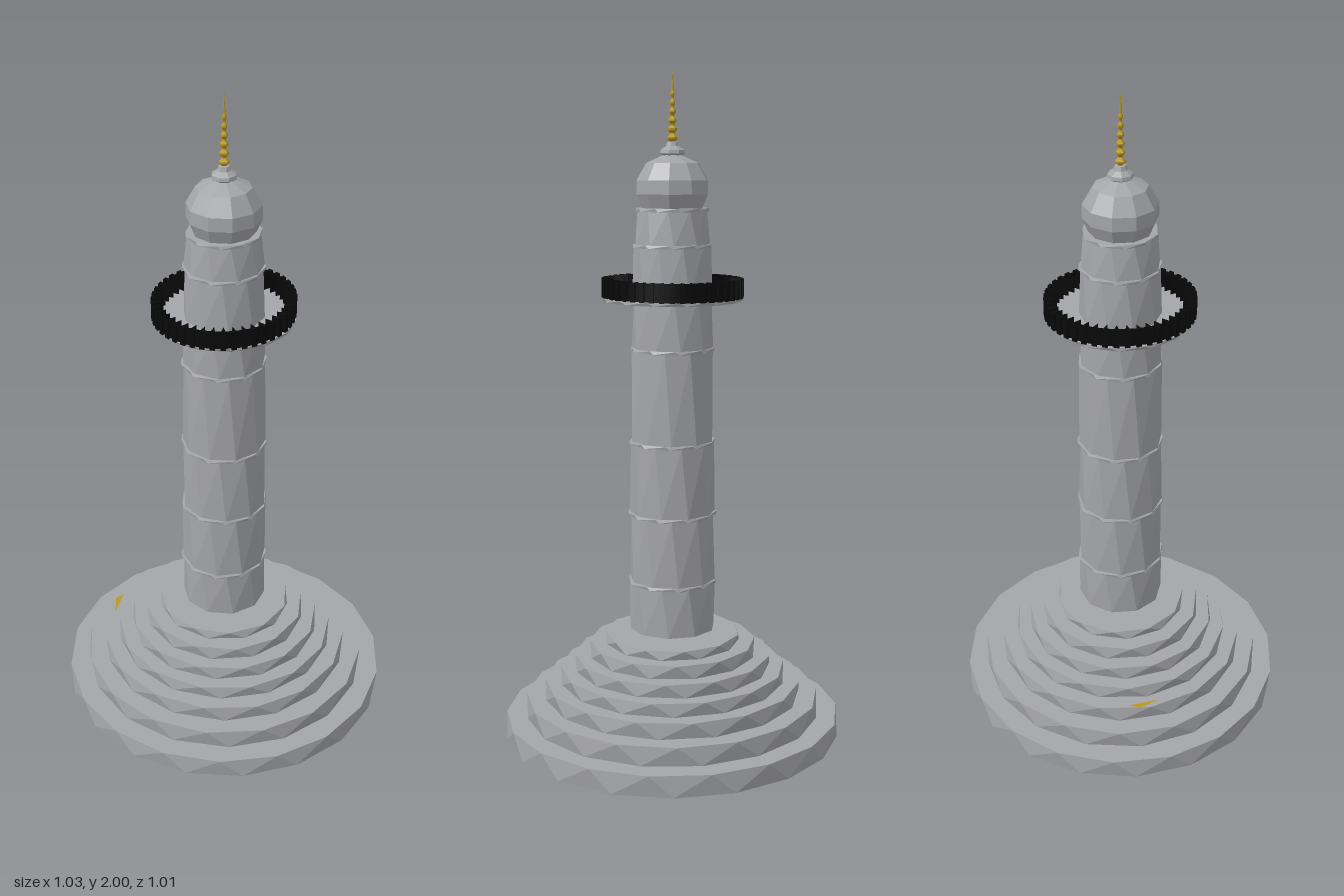
import * as THREE from 'three';

const mat = (name, color, double) => {
  const m = new THREE.MeshStandardMaterial({ color, flatShading: true });
  m.name = name;
  if (double) m.side = THREE.DoubleSide;
  return m;
};

export function createModel() {
  const group = new THREE.Group();
  const stone = mat('stone', 0xa4a5a9);
  const iron = mat('blackIron', 0x090909, true);
  const gold = mat('gold', 0xb8981e, true);

  const add = (name, geo, material, y = 0) => {
    const mesh = new THREE.Mesh(geo, material);
    mesh.name = name;
    mesh.position.y = y;
    group.add(mesh);
    return mesh;
  };

  // Drum whose top polygon is turned against its bottom one, giving triangular facets
  const drum = (name, y0, y1, r0, r1, sides, spin, twist) => {
    const geo = new THREE.CylinderGeometry(r1, r0, y1 - y0, sides, 1);
    const p = geo.attributes.position;
    const a = -Math.PI / sides * twist;
    for (let i = 0; i < p.count; i++) {
      if (p.getY(i) <= 0) continue;
      const x = p.getX(i), z = p.getZ(i);
      p.setX(i, x * Math.cos(a) + z * Math.sin(a));
      p.setZ(i, z * Math.cos(a) - x * Math.sin(a));
    }
    geo.rotateY(spin);
    geo.computeVertexNormals();
    return add(name, geo, stone, (y0 + y1) / 2);
  };

  // Stepped base: [top height, radius, sides]
  let y = 0;
  [[0.063, 0.515, 18], [0.12, 0.452, 16], [0.167, 0.395, 15], [0.207, 0.347, 14],
    [0.247, 0.302, 13], [0.287, 0.256, 12], [0.314, 0.207, 11]].forEach(([top, r, n], i) => {
    drum('baseStep' + (i + 1), y, top, r, r, n, Math.PI / 2 + i * 0.05, 0.8).scale.z = 0.982;
    y = top;
  });

  // Gilded chip lying on the third step
  const chip = new THREE.Shape([[-0.38, 0.01], [-0.394, -0.02], [-0.363, -0.085]]
    .map(([x, v]) => new THREE.Vector2(x, v)));
  add('stepInlay', new THREE.ShapeGeometry(chip).rotateX(-Math.PI / 2), gold, 0.17);

  // Tapering shaft in faceted courses: [height, radius]
  const courses = [[0.33, 0.131], [0.48, 0.131], [0.69, 0.129], [0.91, 0.126],
    [1.19, 0.122], [1.345, 0.119], [1.495, 0.115], [1.6, 0.104]];
  for (let i = 0; i < courses.length - 1; i++) {
    const [a, ra] = courses[i], [b, rb] = courses[i + 1];
    drum('shaftCourse' + (i + 1), a, b, ra, rb, 10, i * 0.23, 0.5);
    // Thin projecting joint above each course
    if (i !== 4) drum('shaftJoint' + (i + 1), b - 0.005, b + 0.005, rb + 0.005, rb + 0.004, 10, i * 0.23 + 0.2, 0.3);
  }

  // Balcony floor
  drum('balconyFloor', 1.334, 1.345, 0.208, 0.21, 14, 0.1, 0.4);

  // Railing: thin wall with wedge-shaped balusters
  const railing = new THREE.Group();
  railing.name = 'railing';
  railing.position.y = 1.372;
  railing.scale.x = 0.94;
  group.add(railing);
  const wall = new THREE.Mesh(new THREE.CylinderGeometry(0.211, 0.211, 0.055, 44, 1, true), iron);
  wall.name = 'railWall';
  railing.add(wall);
  const wedge = new THREE.Shape([[-0.008, 0.22], [0, 0.187], [0.008, 0.22]]
    .map(([x, v]) => new THREE.Vector2(x, v)));
  const wedgeGeo = new THREE.ExtrudeGeometry(wedge, { depth: 0.056, bevelEnabled: false });
  wedgeGeo.rotateX(-Math.PI / 2).translate(0, -0.028, 0);
  for (let i = 0; i < 44; i++) {
    const post = new THREE.Mesh(wedgeGeo, iron);
    post.name = 'baluster';
    post.rotation.y = i / 44 * Math.PI * 2;
    railing.add(post);
  }

  const lathe = (name, pts, sides, material) =>
    add(name, new THREE.LatheGeometry(pts.map(([r, h]) => new THREE.Vector2(r, h)), sides), material);

  // Bulbous dome and its neck
  lathe('dome', [[0.088, 1.598], [0.108, 1.645], [0.107, 1.685], [0.078, 1.735], [0.028, 1.757], [0, 1.76]], 10, stone);
  lathe('domeNeck', [[0.022, 1.752], [0.038, 1.762], [0.036, 1.772], [0.02, 1.783], [0.016, 1.795], [0, 1.798]], 8, stone);

  // Beaded spire
  const beads = [[0.008, 1.79]];
  for (let i = 0; i < 6; i++) {
    const h = 1.795 + i * 0.025, r = 0.015 - i * 0.0017;
    beads.push([r * 0.45, h], [r, h + 0.009], [r, h + 0.014], [r * 0.45, h + 0.022]);
  }
  beads.push([0.003, 1.955], [0, 2]);
  lathe('spire', beads, 6, gold);

  return group;
}
